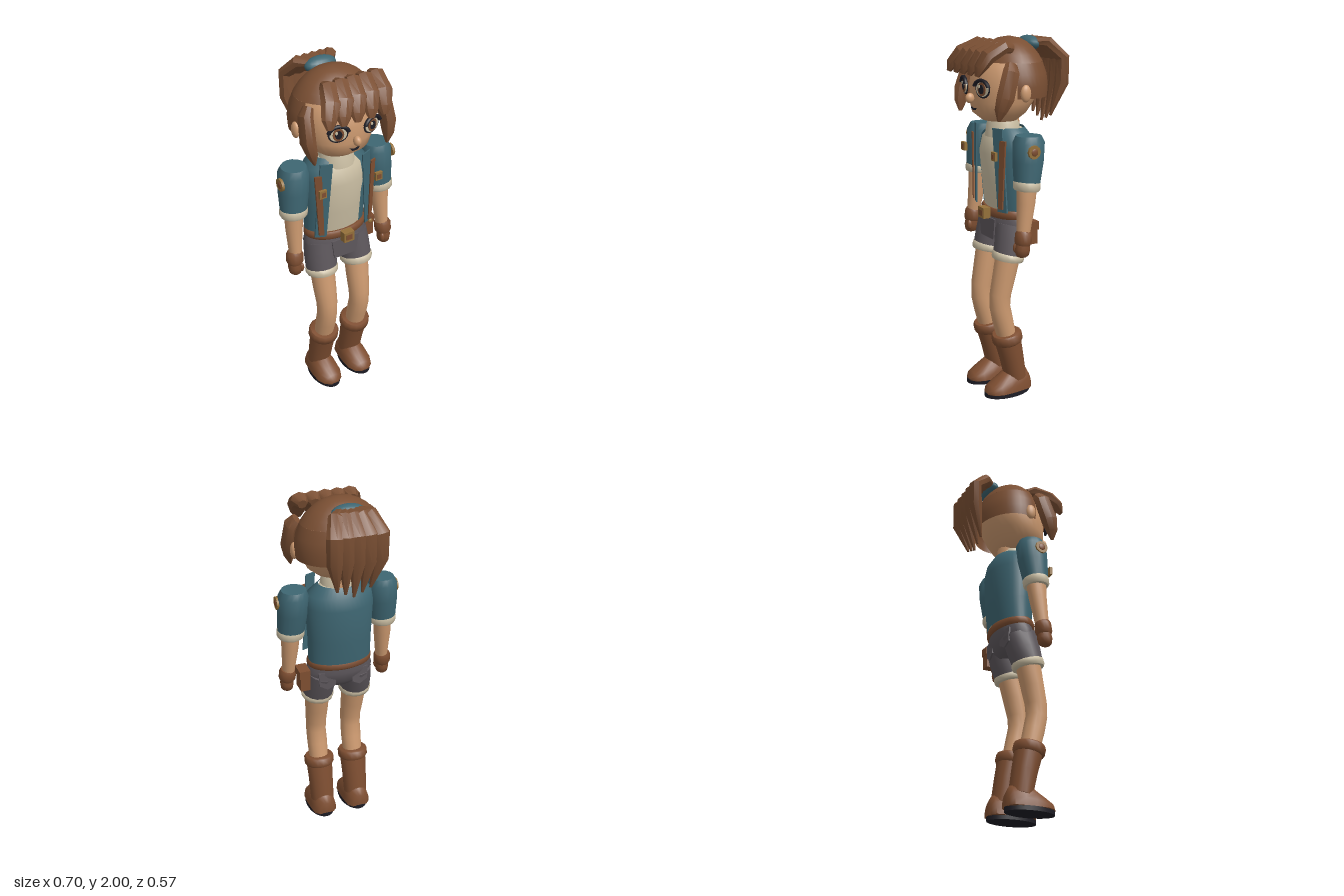
import * as THREE from 'three';
import { toCreasedNormals } from 'three/addons/utils/BufferGeometryUtils.js';

const material = (name, color, extra = {}) => Object.assign(new THREE.MeshStandardMaterial({ color, ...extra }), { name });

// Skin over elliptical rings [x, y, z, halfWidth, halfDepth] along a path.
// flat keeps rings horizontal; arc leaves the surface open between two angles.
function loft(rings, { seg = 16, flat = false, arc = null, crease = 0.9, minY = -1 } = {}) {
  const centres = rings.map(r => new THREE.Vector3(r[0], r[1], r[2]));
  const pos = [], index = [], n = arc ? seg + 1 : seg;
  rings.forEach((r, i) => {
    const t = flat ? new THREE.Vector3(0, 1, 0)
      : centres[Math.min(i + 1, rings.length - 1)].clone().sub(centres[Math.max(i - 1, 0)]).normalize();
    const u = new THREE.Vector3(1, 0, 0).addScaledVector(t, -t.x).normalize();
    const v = t.clone().cross(u);
    for (let j = 0; j < n; j++) {
      const a = arc ? arc[0] + (arc[1] - arc[0]) * j / seg : 2 * Math.PI * j / seg;
      const p = centres[i].clone().addScaledVector(u, r[3] * Math.cos(a)).addScaledVector(v, r[4] * Math.sin(a));
      pos.push(p.x, Math.max(p.y, minY), p.z);
    }
  });
  for (let i = 0; i < rings.length - 1; i++) {
    for (let j = 0; j < seg; j++) {
      const k = (j + 1) % n, a = i * n + j, b = i * n + k;
      index.push(a, b, a + n, b, b + n, a + n);
    }
  }
  if (!arc) {
    const last = rings.length - 1, c = rings.length * n;
    for (const m of [0, last]) pos.push(centres[m].x, Math.max(centres[m].y, minY), centres[m].z);
    for (let j = 0; j < n; j++) {
      const k = (j + 1) % n;
      index.push(c, k, j, c + 1, last * n + j, last * n + k);
    }
  }
  const g = new THREE.BufferGeometry();
  g.setAttribute('position', new THREE.Float32BufferAttribute(pos, 3));
  g.setIndex(index);
  return toCreasedNormals(g, crease);
}

// Thin plate from an outline, sheared back by slope as |x| grows.
function plate(points, z, depth = 0.008, slope = 0) {
  const shape = new THREE.Shape(points.map(p => new THREE.Vector2(p[0], p[1])));
  const g = new THREE.ExtrudeGeometry(shape, { depth, bevelEnabled: false });
  const p = g.attributes.position;
  for (let i = 0; i < p.count; i++) p.setZ(i, p.getZ(i) + z - slope * Math.abs(p.getX(i)));
  g.computeVertexNormals();
  return g;
}

const ball = (x, y, z, rx, ry, rz) => new THREE.SphereGeometry(1, 18, 12).scale(rx, ry, rz).translate(x, y, z);
const box = (x, y, z, w, h, d) => new THREE.BoxGeometry(w, h, d).translate(x, y, z);
const disc = (rx, ry, z, d = 0.004) => new THREE.CylinderGeometry(1, 1, d, 24).rotateX(Math.PI / 2).scale(rx, ry, 1).translate(0, 0, z);

export function createModel() {
  const model = new THREE.Group();
  model.name = 'adventurer';
  const skin = material('skin', 0xcd9a70);
  const hair = material('hair brown', 0x7a4f33, { side: THREE.DoubleSide });
  const teal = material('jacket teal', 0x3e6672, { side: THREE.DoubleSide });
  const cream = material('cream cloth', 0xc9bda2);
  const grey = material('shorts grey', 0x5d575c);
  const leather = material('leather', 0x7e4e31);
  const bronze = material('bronze', 0x94703a);
  const black = material('black', 0x1d1c24);
  const add = (name, geometry, mat, parent = model) => {
    const m = new THREE.Mesh(geometry, mat);
    m.name = name;
    parent.add(m);
    return m;
  };

  // Head and face
  add('head', loft([[0, 1.56, 0.07, 0.11, 0.09], [0, 1.6, 0.07, 0.16, 0.14], [0, 1.66, 0.055, 0.19, 0.165],
    [0, 1.75, 0.03, 0.205, 0.19], [0, 1.85, 0.02, 0.195, 0.18], [0, 1.93, 0.01, 0.13, 0.12]], { seg: 28, flat: true }), skin);
  add('nose', ball(0, 1.683, 0.245, 0.02, 0.027, 0.025), skin);
  add('mouth', plate([[-0.027, 1.633], [0, 1.627], [0.027, 1.633], [0.015, 1.62], [-0.015, 1.62]], 0.218), black);
  add('neck', loft([[0, 1.47, 0.025, 0.075, 0.075], [0, 1.59, 0.025, 0.07, 0.07]]), skin);

  // Hair cap: open around the face below, closed dome above
  const capRing = y => {
    const k = Math.sqrt(Math.max(0, 1 - ((y - 1.74) / 0.258) ** 2));
    return [0, y, 0.008, 0.245 * k, 0.192 * k];
  };
  add('hairBack', loft([1.69, 1.75, 1.81, 1.87].map(capRing), { seg: 28, flat: true, arc: [-0.42, Math.PI + 0.42] }), hair);
  add('hairTop', loft([1.87, 1.91, 1.945, 1.97, 1.987, 1.998].map(capRing), { seg: 28, flat: true }), hair);
  for (let i = 0; i < 5; i++) {
    const b = -0.1 + 0.068 * i, e = -0.172 + 0.079 * i, m = (b + e) / 2;
    add('fringeLock', loft([[b, 1.945, 0.09, 0.025, 0.025], [b, 1.957, 0.135, 0.047, 0.037], [m, 1.91, 0.222, 0.054, 0.04],
      [e, 1.85, 0.262, 0.042, 0.027], [e - 0.005, 1.81, 0.277, 0.018, 0.01]], { seg: 8, crease: 0.6 }), hair);
  }
  for (let i = -2; i <= 2; i++) {
    add('ponytailLock', loft([[0.02 * i, 1.965, -0.12, 0.03, 0.02], [0.045 * i, 1.96, -0.18, 0.04, 0.034],
      [0.06 * i, 1.88, -0.253, 0.047, 0.036], [0.06 * i, 1.75, -0.25, 0.045, 0.036],
      [0.045 * i, 1.53 + 0.02 * Math.abs(i), -0.2, 0.008, 0.006]], { seg: 8, crease: 0.6 }), hair);
  }
  add('hairTie', ball(0, 1.955, -0.112, 0.09, 0.042, 0.048), teal);

  // Torso, collar and open jacket
  add('shirt', loft([[0, 1.05, 0.025, 0.165, 0.098], [0, 1.2, 0.025, 0.168, 0.118], [0, 1.38, 0.028, 0.178, 0.132],
    [0, 1.46, 0.025, 0.165, 0.118], [0, 1.51, 0.025, 0.1, 0.085]], { seg: 28, flat: true }), cream);
  add('collar', loft([[0, 1.47, 0.045, 0.102, 0.098], [0, 1.54, 0.045, 0.092, 0.086], [0, 1.565, 0.045, 0.082, 0.076]], { seg: 24, flat: true }), cream);
  add('jacket', loft([[0, 1.07, 0.02, 0.178, 0.108], [0, 1.2, 0.02, 0.18, 0.122], [0, 1.4, 0.022, 0.19, 0.134],
    [0, 1.47, 0.022, 0.178, 0.12], [0, 1.52, 0.022, 0.115, 0.088]], { seg: 32, flat: true, arc: [-0.95, Math.PI + 0.95] }), teal);

  // Belt, buckle and pouch
  add('belt', loft([[0, 1.03, 0.028, 0.177, 0.108], [0, 1.04, 0.028, 0.185, 0.116], [0, 1.066, 0.028, 0.185, 0.116],
    [0, 1.078, 0.028, 0.177, 0.108]], { seg: 28, flat: true }), leather);
  add('beltBuckle', box(0, 1.053, 0.165, 0.064, 0.06, 0.042), bronze);
  add('buckleCentre', box(0, 1.053, 0.187, 0.036, 0.032, 0.004), leather);
  add('pouch', box(0.215, 0.965, 0.012, 0.055, 0.115, 0.085), leather);
  add('pouchFlap', box(0.218, 1.01, 0.012, 0.062, 0.045, 0.092), leather);
  add('pouchButton', ball(0.218, 1.005, 0.06, 0.014, 0.014, 0.008), bronze);

  // Shorts
  add('hips', loft([[0, 0.9, 0.045, 0.09, 0.07], [0, 0.94, 0.04, 0.185, 0.1], [0, 1.0, 0.032, 0.193, 0.108],
    [0, 1.05, 0.028, 0.175, 0.1]], { seg: 24, flat: true }), grey);
  add('fly', plate([[-0.085, 1.025], [-0.07, 0.91], [0.07, 0.91], [0.085, 1.025]], 0.14), grey);

  for (const s of [1, -1]) {
    const side = new THREE.Group();
    side.name = s > 0 ? 'leftSide' : 'rightSide';
    model.add(side);
    const part = (name, geometry, mat) => add(name, geometry, mat, side);
    const limb = (name, rings, mat, opt) => part(name, loft(rings.map(r => [s * r[0], ...r.slice(1)]), opt), mat);
    const flip = pts => pts.map(p => [s * p[0], p[1]]);

    // Eye
    const eye = new THREE.Group();
    eye.name = 'eye';
    eye.position.set(s * 0.095, 1.738, 0.212);
    eye.rotation.y = s * 0.25;
    side.add(eye);
    add('eyeOutline', disc(0.053, 0.047, 0.008), black, eye);
    add('eyeWhite', disc(0.045, 0.038, 0.012), cream, eye);
    add('iris', disc(0.029, 0.035, 0.016), leather, eye);
    add('pupil', disc(0.018, 0.023, 0.02), black, eye);
    add('eyeGlint', disc(0.007, 0.008, 0.024).translate(-0.012, 0.014, 0), cream, eye);
    add('lash', new THREE.TorusGeometry(0.05, 0.011, 8, 16, 2.7).rotateZ(0.22).scale(1.05, 0.85, 1).translate(0, 0.004, 0.018), black, eye);

    // Ear and side lock
    part('ear', ball(s * 0.238, 1.72, 0.045, 0.02, 0.045, 0.03), skin);
    limb('sideLock', [[0.2, 1.865, 0.11, 0.025, 0.035], [0.225, 1.83, 0.125, 0.036, 0.05], [0.235, 1.7, 0.165, 0.038, 0.053],
      [0.225, 1.64, 0.185, 0.028, 0.038], [0.215, 1.585, 0.192, 0.006, 0.01]], hair, { seg: 8, crease: 0.6 });

    // Lapel and strap
    part('lapel', plate(flip([[0.15, 1.53], [0.09, 1.53], [0.122, 1.08], [0.18, 1.08]]), 0.19, 0.008, 0.4), teal);
    part('strap', plate(flip([[0.15, 1.47], [0.185, 1.47], [0.165, 1.1], [0.14, 1.1]]), 0.204, 0.009, 0.4), leather);
    part('strapBuckle', box(s * 0.17, 1.395, 0.194, 0.042, 0.046, 0.016), bronze);
    part('strapBuckleCentre', box(s * 0.17, 1.395, 0.203, 0.022, 0.026, 0.004), leather);

    // Arm, sleeve and glove
    limb('sleeve', [[0.25, 1.505, 0.035, 0.068, 0.068], [0.253, 1.47, 0.036, 0.083, 0.086], [0.258, 1.37, 0.042, 0.083, 0.083],
      [0.266, 1.25, 0.054, 0.074, 0.068]], teal, { flat: true });
    limb('sleeveCuff', [[0.267, 1.272, 0.053, 0.07, 0.066], [0.267, 1.26, 0.054, 0.077, 0.072], [0.268, 1.232, 0.056, 0.077, 0.072],
      [0.268, 1.22, 0.057, 0.07, 0.066]], cream);
    limb('arm', [[0.268, 1.25, 0.055, 0.05, 0.057], [0.272, 1.15, 0.062, 0.047, 0.05], [0.28, 0.97, 0.085, 0.032, 0.036]], skin);
    limb('gloveCuff', [[0.282, 1.0, 0.08, 0.04, 0.04], [0.284, 0.985, 0.083, 0.048, 0.046], [0.286, 0.945, 0.088, 0.048, 0.046],
      [0.286, 0.93, 0.09, 0.04, 0.04]], leather);
    limb('fist', [[0.286, 0.94, 0.09, 0.036, 0.036], [0.288, 0.905, 0.092, 0.038, 0.042], [0.288, 0.875, 0.093, 0.033, 0.036],
      [0.288, 0.865, 0.093, 0.022, 0.025]], leather, { seg: 12 });
    part('thumb', ball(s * 0.262, 0.91, 0.118, 0.014, 0.028, 0.016), leather);
    part('sleeveBadge', new THREE.CylinderGeometry(0.036, 0.036, 0.014, 10).rotateZ(Math.PI / 2).translate(s * 0.339, 1.432, 0.055), bronze);
    part('badgeCentre', ball(s * 0.345, 1.432, 0.055, 0.006, 0.02, 0.02), leather);

    // Shorts leg, cuff and back pocket
    limb('shortsLeg', [[0.1, 0.985, 0.035, 0.088, 0.1], [0.108, 0.9, 0.056, 0.09, 0.094], [0.113, 0.815, 0.08, 0.088, 0.084]], grey);
    limb('shortsCuff', [[0.112, 0.836, 0.074, 0.088, 0.086], [0.112, 0.828, 0.076, 0.093, 0.09], [0.113, 0.808, 0.082, 0.093, 0.09],
      [0.113, 0.798, 0.084, 0.086, 0.084]], cream);
    part('backPocket', plate(flip([[0.045, 1.01], [0.145, 1.01], [0.14, 0.93], [0.095, 0.905], [0.05, 0.93]]), -0.068, 0.009, -0.12), grey);

    // Bent leg
    limb('leg', [[0.112, 0.84, 0.075, 0.07, 0.07], [0.11, 0.7, 0.105, 0.066, 0.064], [0.108, 0.6, 0.126, 0.06, 0.06],
      [0.108, 0.53, 0.129, 0.058, 0.058], [0.107, 0.45, 0.112, 0.059, 0.058], [0.107, 0.3, 0.075, 0.054, 0.052]], skin);

    // Boot
    limb('bootCollar', [[0.107, 0.368, 0.09, 0.08, 0.078], [0.107, 0.358, 0.088, 0.088, 0.086], [0.107, 0.322, 0.079, 0.088, 0.086],
      [0.107, 0.312, 0.077, 0.08, 0.078]], leather);
    limb('bootShaft', [[0.107, 0.34, 0.083, 0.078, 0.076], [0.107, 0.22, 0.055, 0.073, 0.068], [0.107, 0.09, 0.03, 0.07, 0.062]], leather);
    limb('bootFoot', [[0.107, 0.024, -0.052, 0.045, 0.07], [0.107, 0.024, -0.03, 0.068, 0.11], [0.107, 0.024, 0.03, 0.076, 0.132],
      [0.107, 0.024, 0.09, 0.08, 0.112], [0.107, 0.024, 0.15, 0.078, 0.07], [0.107, 0.024, 0.195, 0.058, 0.044],
      [0.107, 0.024, 0.218, 0.025, 0.012]], leather, { seg: 20, minY: 0.022 });
    part('sole', new THREE.CylinderGeometry(1, 1, 0.024, 28).scale(0.081, 1, 0.14).translate(s * 0.107, 0.012, 0.083), black);
  }
  return model;
}
